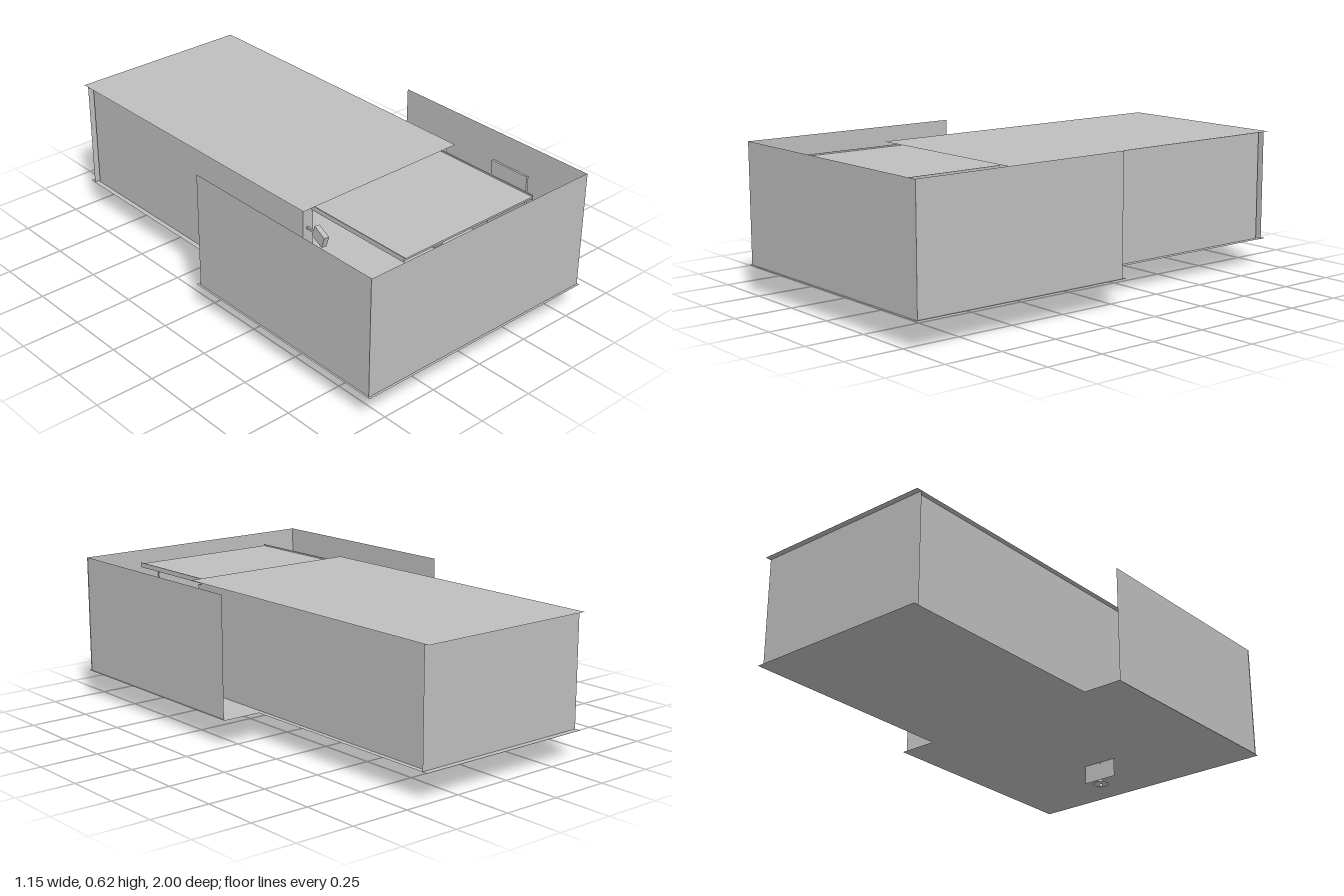
import * as THREE from 'three';

const FLOOR = 0.115, ROOM_TOP = 0.62, HALL_TOP = 0.585;

export function createModel() {
  const model = new THREE.Group();
  model.name = 'roomInterior';
  const grey = new THREE.MeshStandardMaterial({ color: 0xbfbfbf, side: THREE.DoubleSide });
  grey.name = 'grey';

  function add(name, geometry, x, y, z, parent = model) {
    const mesh = new THREE.Mesh(geometry, grey);
    mesh.name = name;
    mesh.position.set(x, y, z);
    parent.add(mesh);
    return mesh;
  }
  const box = (name, x, y, z, w, h, d, parent) =>
    add(name, new THREE.BoxGeometry(w, h, d), x, y, z, parent);
  // Single sheets: level, facing front, and facing sideways
  function sheet(name, x0, x1, z0, z1, y) {
    const m = add(name, new THREE.PlaneGeometry(x1 - x0, z1 - z0), (x0 + x1) / 2, y, (z0 + z1) / 2);
    m.rotation.x = -Math.PI / 2;
    return m;
  }
  const frontSheet = (name, half, y0, y1, z) =>
    add(name, new THREE.PlaneGeometry(half * 2, y1 - y0), 0, (y0 + y1) / 2, z);
  function sideSheet(name, x, y0, y1, z0, z1) {
    const m = add(name, new THREE.PlaneGeometry(z1 - z0, y1 - y0), x, (y0 + y1) / 2, (z0 + z1) / 2);
    m.rotation.y = Math.sign(x) * Math.PI / 2;
  }

  // T-shaped floor in one piece
  const plan = new THREE.Shape([
    [-0.575, -0.995], [0.575, -0.995], [0.575, 0.015], [0.405, 0.015],
    [0.405, 1], [-0.405, 1], [-0.405, 0.015], [-0.575, 0.015],
  ].map(([x, y]) => new THREE.Vector2(x, y)));
  add('floor', new THREE.ShapeGeometry(plan), 0, FLOOR, 0).rotation.x = -Math.PI / 2;

  // Walls and roof
  frontSheet('frontWall', 0.57, FLOOR, ROOM_TOP, 0.985);
  frontSheet('hallEndWall', 0.403, FLOOR, HALL_TOP, -0.975);
  for (const s of [-1, 1]) {
    sideSheet('roomSideWall', s * 0.567, FLOOR, ROOM_TOP, 0, 0.985);
    sideSheet('hallSideWall', s * 0.383, FLOOR, HALL_TOP, -0.965, 0.4);
    box('doorPost', s * 0.36, (FLOOR + 0.57) / 2, 0.405, 0.05, 0.57 - FLOOR, 0.02);
  }
  sheet('hallRoof', -0.405, 0.405, -1, 0.44, HALL_TOP);

  // Ceiling panel with a low rim
  sheet('ceilingPanel', -0.343, 0.34, 0.345, 0.915, 0.574);
  for (const x of [-0.342, 0.339]) box('ceilingRim', x, 0.57, 0.63, 0.004, 0.02, 0.57);
  for (const z of [0.347, 0.913]) box('ceilingRim', 0, 0.57, z, 0.68, 0.008, 0.004);

  // Boards and clock on the inside of the front wall
  box('wideBoard', 0, 0.4, 0.975, 0.42, 0.22, 0.01);
  box('noticeBoard', 0.335, 0.4, 0.975, 0.19, 0.16, 0.01);
  add('clock', new THREE.CylinderGeometry(0.037, 0.037, 0.01, 32), -0.36, 0.51, 0.975)
    .rotation.x = Math.PI / 2;

  // Door on the side wall
  box('sideDoor', 0.545, 0.308, 0.615, 0.01, 0.385, 0.19);
  box('doorHandle', 0.532, 0.29, 0.68, 0.016, 0.008, 0.012);

  // Bench
  box('benchSeat', -0.513, 0.19, 0.708, 0.072, 0.02, 0.285);
  box('benchBack', -0.547, 0.225, 0.708, 0.006, 0.09, 0.285);
  for (const z of [0.585, 0.83]) box('benchLeg', -0.513, 0.1475, z, 0.06, 0.065, 0.012);

  // Cabinet
  box('cabinet', -0.503, 0.195, 0.918, 0.085, 0.16, 0.092);
  box('cabinetHandle', -0.503, 0.23, 0.869, 0.024, 0.006, 0.006);

  // Desk and the things on it
  box('deskTop', 0.413, 0.25, 0.875, 0.21, 0.012, 0.11);
  for (const x of [0.316, 0.51]) box('deskSide', x, 0.1795, 0.875, 0.01, 0.129, 0.1);
  box('deskPapers', 0.47, 0.26, 0.9, 0.045, 0.008, 0.022).rotation.y = -0.4;
  box('deskPen', 0.45, 0.259, 0.852, 0.02, 0.005, 0.006);
  for (const x of [0.395, 0.425])
    add('deskCup', new THREE.CylinderGeometry(0.007, 0.006, 0.02, 16), x, 0.266, 0.912);

  // Turned chair
  const chair = new THREE.Group();
  chair.name = 'chair';
  chair.position.set(0.405, FLOOR, 0.768);
  chair.rotation.y = 0.25;
  model.add(chair);
  box('chairSeat', 0, 0.08, 0, 0.065, 0.01, 0.062, chair);
  box('chairBack', 0, 0.13, -0.03, 0.065, 0.09, 0.006, chair);
  for (const x of [-0.027, 0.027]) for (const z of [-0.026, 0.026])
    box('chairLeg', x, 0.0375, z, 0.007, 0.075, 0.007, chair);

  // Tilted fixture beside the doorway
  const fixture = box('wallFixture', -0.364, 0.485, 0.49, 0.022, 0.05, 0.07);
  fixture.rotation.set(0.3, -0.15, 0);
  box('fixtureArm', -0.365, 0.49, 0.44, 0.008, 0.008, 0.05);

  // Hanging lamp and its plate below the floor
  frontSheet('lampPlate', 0.078, 0.035, FLOOR, 0.622);
  const lamp = new THREE.Group();
  lamp.name = 'hangingLamp';
  lamp.position.set(0, 0, 0.628);
  model.add(lamp);
  const shade = [[0.034, 0.016], [0.022, 0.025], [0.01, 0.033], [0.003, 0.036]]
    .map(([r, y]) => new THREE.Vector2(r, y));
  add('lampShade', new THREE.LatheGeometry(shade, 32), 0, 0, 0, lamp);
  add('lampBulb', new THREE.SphereGeometry(0.009, 20, 14), 0, 0.0095, 0, lamp);
  add('lampCord', new THREE.CylinderGeometry(0.0018, 0.0018, 0.075, 10), 0, 0.0725, 0, lamp);
  add('lampMount', new THREE.CylinderGeometry(0.009, 0.007, 0.008, 20), 0, 0.11, 0, lamp);
  return model;
}
